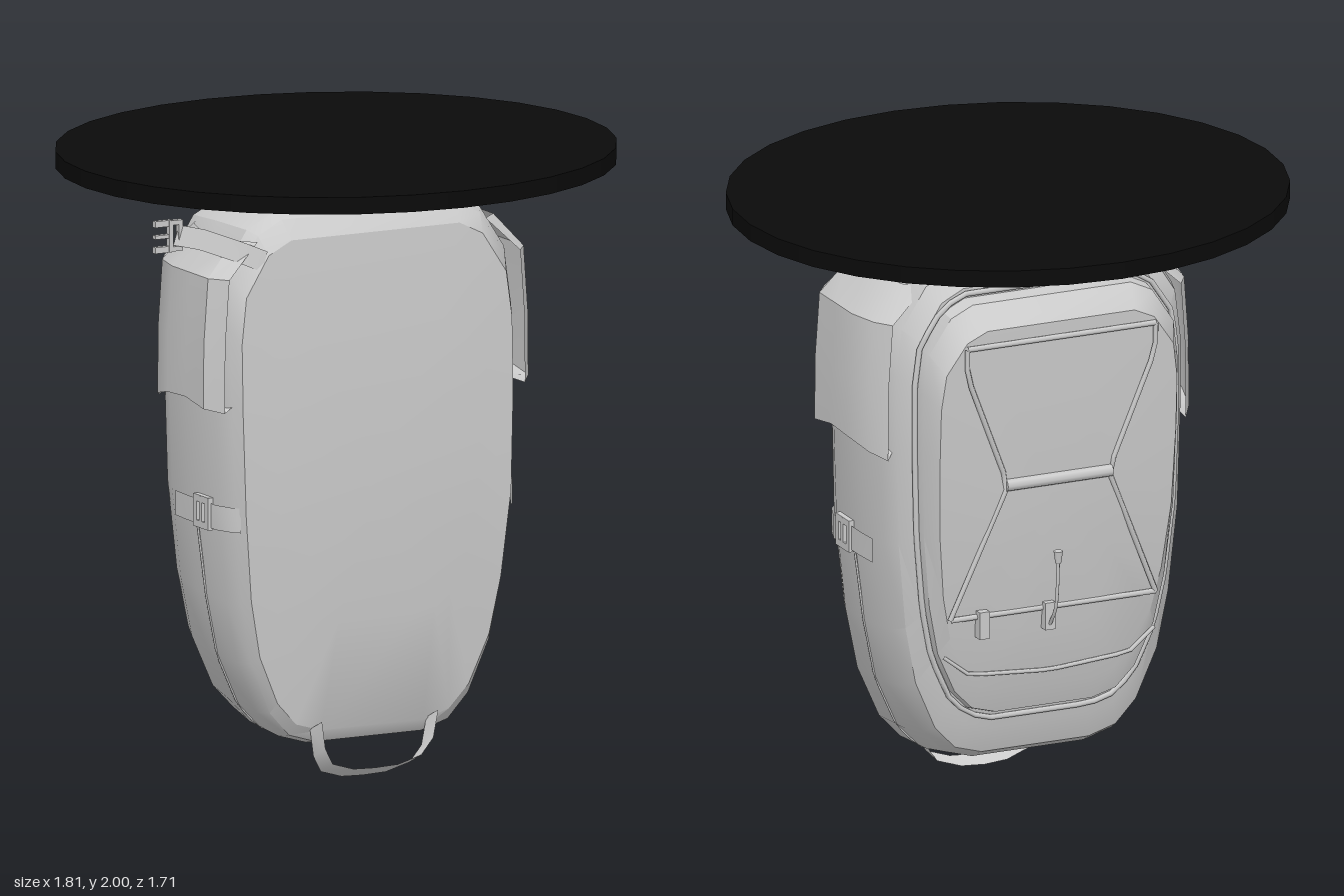
import * as THREE from 'three';
import { toCreasedNormals } from 'three/addons/utils/BufferGeometryUtils.js';

const grey = new THREE.MeshStandardMaterial({ color: 0xcccccc });
const thin = new THREE.MeshStandardMaterial({ color: 0xcccccc, side: THREE.DoubleSide });
const black = new THREE.MeshStandardMaterial({ color: 0x0a0a0a });
const V = (x, y, z) => new THREE.Vector3(x, y, z);
const Y0 = 0.12, Y1 = 1.845;

function add(parent, name, geo, mat = grey) {
  const m = new THREE.Mesh(geo, mat);
  m.name = name;
  parent.add(m);
  return m;
}

function meshFrom(verts, index, crease = 0.5) {
  const g = new THREE.BufferGeometry();
  g.setAttribute('position', new THREE.Float32BufferAttribute(verts, 3));
  g.setIndex(index);
  return toCreasedNormals(g, crease);
}

// Outline of the bag, bottom centre up the +x side, then mirrored
const half = [[0.2, 0.12], [0.3, 0.15], [0.375, 0.23], [0.45, 0.4], [0.49, 0.6], [0.52, 0.9], [0.53, 1.25],
  [0.53, 1.5], [0.51, 1.66], [0.42, 1.8], [0.33, 1.845]];
const outline = [...half, ...half.map(([x, y]) => [-x, y]).reverse()];

// One outline squeezed to a width and a height range, its depth bending from bottom to middle to top
function ring([sx, y0, y1, zb, zm, zt]) {
  return outline.map(([x, y]) => {
    const t = (y - Y0) / (Y1 - Y0);
    const z = t < 0.5 ? zb + (zm - zb) * t * 2 : zm + (zt - zm) * (t * 2 - 1);
    return V(x * sx, y0 + (y1 - y0) * t, z);
  });
}

// Skin a stack of rings from front to back
function loft(specs) {
  const rings = specs.map(ring), n = outline.length, verts = [], index = [];
  rings.forEach(r => r.forEach(p => verts.push(p.x, p.y, p.z)));
  for (let i = 0; i < rings.length - 1; i++)
    for (let j = 0; j < n; j++) {
      const a = i * n + j, b = i * n + (j + 1) % n;
      index.push(a, a + n, b, b, a + n, b + n);
    }
  const cap = (i, flip) => {
    const s = specs[i], c = verts.length / 3;
    verts.push(0, (s[1] + s[2]) / 2, s[4]);
    for (let j = 0; j < n; j++) {
      const a = i * n + j, b = i * n + (j + 1) % n;
      index.push(c, flip ? b : a, flip ? a : b);
    }
  };
  cap(0, false);
  cap(rings.length - 1, true);
  return meshFrom(verts, index);
}

function tube(pts, r, closed = false, seg = 3) {
  const path = new THREE.CurvePath();
  const list = closed ? [...pts, pts[0]] : pts;
  for (let i = 0; i < list.length - 1; i++) path.add(new THREE.LineCurve3(list[i], list[i + 1]));
  return new THREE.TubeGeometry(path, list.length * seg, r, 6, closed);
}

// Flat webbing along a path; side is the half-width vector
function ribbon(pts, side) {
  const verts = [], index = [];
  pts.forEach((p, i) => {
    const a = p.clone().add(side), b = p.clone().sub(side);
    verts.push(a.x, a.y, a.z, b.x, b.y, b.z);
    if (i) { const k = i * 2; index.push(k - 2, k - 1, k, k, k - 1, k + 1); }
  });
  return meshFrom(verts, index, 0.8);
}

function frame(w, h, t, depth) {
  const s = new THREE.Shape([[-1, -1], [1, -1], [1, 1], [-1, 1]].map(([a, b]) => new THREE.Vector2(a * w / 2, b * h / 2)));
  const k = [[-1, -1], [-1, 1], [1, 1], [1, -1]].map(([a, b]) => new THREE.Vector2(a * (w / 2 - t), b * (h / 2 - t)));
  s.holes.push(new THREE.Path(k));
  return new THREE.ExtrudeGeometry(s, { depth, bevelEnabled: false });
}

// Depth of the back panel surface at a height
function panelZ(y) {
  const p = [[0.35, -0.25], [0.5, -0.28], [0.9, -0.33], [1.4, -0.362], [1.65, -0.372], [1.8, -0.372]];
  let i = 0;
  while (i < p.length - 2 && y > p[i + 1][0]) i++;
  const [a, b] = [p[i], p[i + 1]];
  return a[1] + (b[1] - a[1]) * (y - a[0]) / (b[0] - a[0]);
}
const onPanel = (x, y) => V(x, y, panelZ(y) - 0.004);

// Side pocket: a bulge over the upper side, open along its lower edge
function pocketGeometry(s) {
  const zs = [0.28, 0.22, 0.1, -0.02, -0.13, -0.19];
  const rows = [[1.24, 0.587], [1.45, 0.585], [1.66, 0.57], [1.77, 0.47]];
  const dip = [0, 0.01, 0.03, 0.025, 0, -0.02];
  const verts = [], index = [], n = zs.length;
  rows.forEach(([y, x], r) => zs.forEach((z, c) => {
    const edge = c === 0 ? 0.045 : c === n - 1 ? 0.065 : c === n - 2 ? 0.025 : 0;
    verts.push(s * (x - edge - (r === 3 ? edge * 0.3 : 0)), y + (r === 0 ? dip[c] - 0.01 : 0), z * (r === 3 ? 0.92 : 1));
  }));
  // floor tucked back into the body
  zs.forEach(z => verts.push(s * 0.49, 1.25, z * 0.9));
  const quad = (a, b, c, d) => (s > 0 ? index.push(a, b, c, c, b, d) : index.push(a, c, b, c, d, b));
  for (let c = 0; c < n - 1; c++) {
    for (let r = 0; r < 3; r++) quad(r * n + c, r * n + c + 1, (r + 1) * n + c, (r + 1) * n + c + 1);
    quad(4 * n + c, 4 * n + c + 1, c, c + 1);
  }
  return meshFrom(verts, index);
}

export function createModel() {
  const model = new THREE.Group();
  model.name = 'backpackUnderDisc';

  // Disc above the bag
  const disc = add(model, 'disc', new THREE.CylinderGeometry(1, 1, 0.055, 32), black);
  disc.scale.set(0.905, 1, 0.853);
  disc.position.y = 1.9725;

  const bag = new THREE.Group();
  bag.name = 'backpack';
  bag.position.x = -0.012;
  model.add(bag);

  // Main body, front face to back edge
  add(bag, 'body', loft([
    [0.69, 0.53, 1.44, 0.298, 0.308, 0.306],
    [0.92, 0.17, 1.77, 0.262, 0.31, 0.285],
    [0.955, 0.13, 1.83, 0.235, 0.27, 0.24],
    [1, 0.12, 1.845, 0.19, 0.2, 0.2],
    [1, 0.135, 1.84, 0, 0, 0],
    [0.98, 0.16, 1.83, -0.12, -0.13, -0.13],
    [0.94, 0.19, 1.82, -0.175, -0.2, -0.2],
    [0.86, 0.28, 1.77, -0.205, -0.25, -0.245],
  ]));

  // Raised back panel with piping and lower seam
  add(bag, 'backPanel', loft([
    [0.85, 0.33, 1.74, -0.2, -0.24, -0.23],
    [0.84, 0.34, 1.73, -0.24, -0.28, -0.3],
    [0.78, 0.42, 1.66, -0.265, -0.335, -0.37],
    [0.4, 0.62, 1.45, -0.3, -0.345, -0.365],
  ]));
  add(bag, 'panelPiping', tube(ring([0.865, 0.315, 1.755, -0.215, -0.25, -0.255]), 0.009, true));
  add(bag, 'panelSeam', tube([V(-0.37, 0.56, -0.275), V(-0.28, 0.49, -0.28), V(0, 0.47, -0.282),
    V(0.28, 0.49, -0.28), V(0.37, 0.56, -0.275)], 0.007));

  // Elastic cord web with its centre sleeve
  const cords = new THREE.Group();
  cords.name = 'elasticCords';
  bag.add(cords);
  add(cords, 'topCord', tube([onPanel(-0.33, 1.61), onPanel(0.33, 1.61)], 0.009));
  add(cords, 'bottomCord', tube([onPanel(-0.36, 0.69), onPanel(0.36, 0.69)], 0.009));
  const sleeve = add(cords, 'cordSleeve', new THREE.CylinderGeometry(0.021, 0.021, 0.37, 8));
  sleeve.rotation.z = Math.PI / 2;
  sleeve.position.copy(onPanel(0, 1.13));
  for (const s of [1, -1]) {
    add(cords, 'sideCord', tube([onPanel(s * 0.33, 1.61), onPanel(s * 0.33, 1.52), onPanel(s * 0.18, 1.14),
      onPanel(s * 0.18, 1.12), onPanel(s * 0.36, 0.69)], 0.009));
  }
  for (const x of [0.25, 0.02]) {
    const clip = add(cords, 'cordClip', new THREE.BoxGeometry(0.035, 0.09, 0.035));
    clip.position.copy(onPanel(x, 0.665));
    clip.position.z -= 0.01;
  }
  const pull = new THREE.CatmullRomCurve3([V(0.02, 0.64, -0.33), V(0.02, 0.7, -0.37), V(0.02, 0.78, -0.385), V(0.02, 0.87, -0.39)]);
  add(cords, 'pullCord', new THREE.TubeGeometry(pull, 10, 0.006, 6));
  const knob = add(cords, 'pullKnob', new THREE.CylinderGeometry(0.016, 0.01, 0.04, 8));
  knob.position.set(0.02, 0.88, -0.39);

  // Pockets, straps, buckles and seams on both sides
  for (const s of [1, -1]) {
    add(bag, 'sidePocket', pocketGeometry(s), thin);
    add(bag, 'sideStrap', ribbon([V(s * 0.487, 0.88, 0.285), V(s * 0.508, 0.88, 0.26), V(s * 0.53, 0.88, 0.2),
      V(s * 0.53, 0.88, 0), V(s * 0.525, 0.88, -0.08)], V(0, 0.04, 0)), thin);
    const buckle = add(bag, 'sideBuckle', frame(0.1, 0.105, 0.022, 0.018));
    buckle.rotation.y = s * Math.PI / 2;
    buckle.position.set(s * 0.522, 0.885, 0.115);
    const bar = add(bag, 'buckleBar', new THREE.BoxGeometry(0.016, 0.1, 0.016));
    bar.position.set(s * 0.533, 0.885, 0.115);
    add(bag, 'sideSeam', tube([V(s * 0.2, 0.128, 0.06), V(s * 0.3, 0.158, 0.06), V(s * 0.375, 0.237, 0.06),
      V(s * 0.45, 0.405, 0.06), V(s * 0.49, 0.605, 0.06), V(s * 0.52, 0.83, 0.06)], 0.004));
  }

  // Carry loop hanging below
  add(bag, 'carryLoop', ribbon([V(-0.21, 0.19, 0.275), V(-0.195, 0.1, 0.27), V(-0.16, 0.045, 0.255), V(-0.08, 0.02, 0.245),
    V(0, 0.016, 0.24), V(0.08, 0.02, 0.245), V(0.16, 0.045, 0.255), V(0.195, 0.1, 0.27), V(0.21, 0.19, 0.275)],
  V(0.012, 0.014, 0.018)), thin);

  // Loose strap with a pronged clip
  add(bag, 'looseStrap', ribbon([V(-0.4, 1.71, 0.285), V(-0.48, 1.745, 0.25), V(-0.56, 1.775, 0.16), V(-0.62, 1.785, 0.1)],
    V(0.01, 0.032, 0)), thin);
  const clip = new THREE.Group();
  clip.name = 'strapClip';
  clip.position.set(-0.625, 1.785, 0.09);
  bag.add(clip);
  add(clip, 'clipFrame', frame(0.05, 0.1, 0.015, 0.02));
  for (const y of [-0.042, 0, 0.042]) {
    const prong = add(clip, 'clipProng', new THREE.BoxGeometry(0.06, y ? 0.02 : 0.012, 0.018));
    prong.position.set(-0.045, y, 0.01);
  }
  return model;
}
